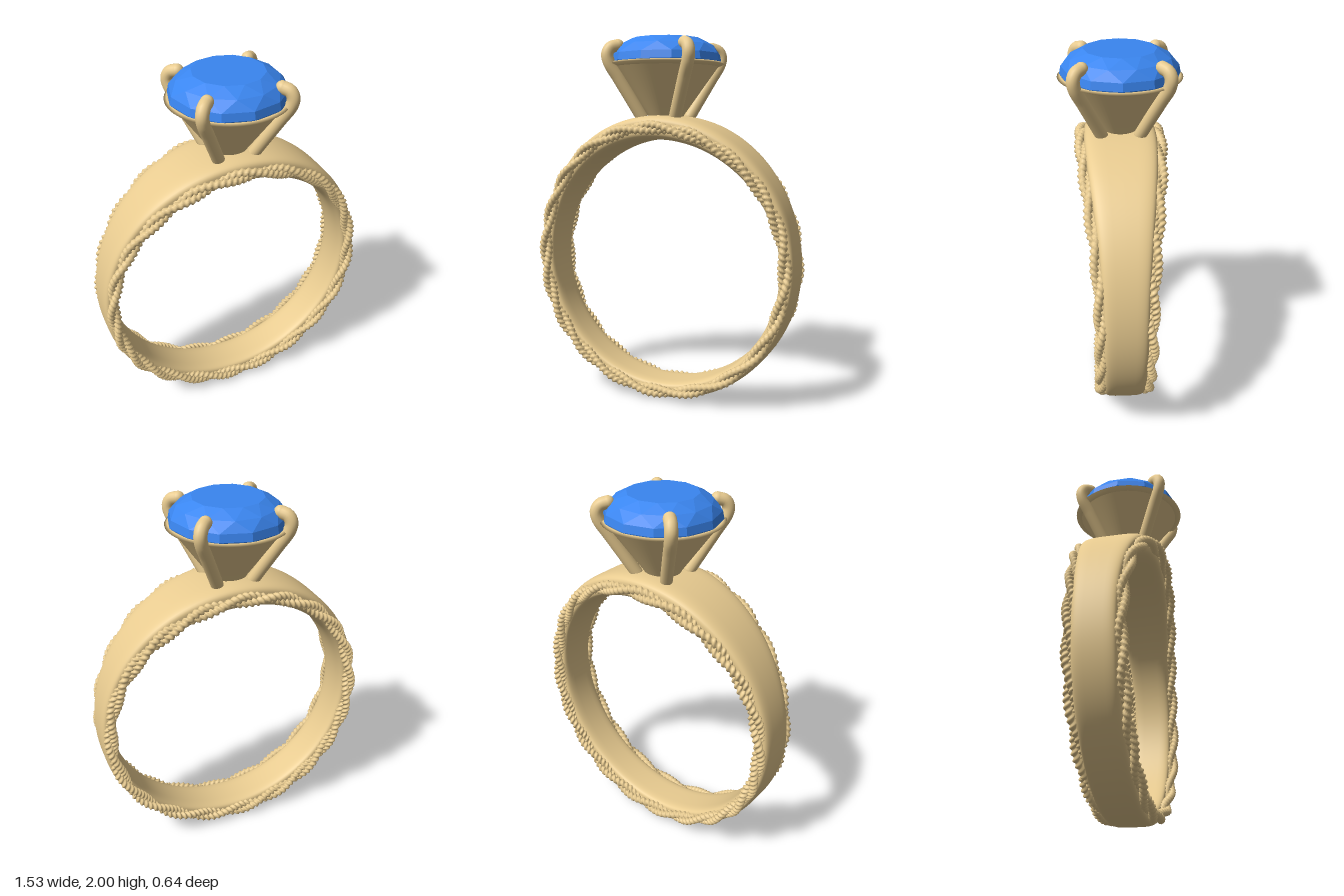
import * as THREE from 'three';
import { ConvexGeometry } from 'three/addons/geometries/ConvexGeometry.js';

const gold = new THREE.MeshStandardMaterial({ color: 0xe8cb90 });
const goldOpen = new THREE.MeshStandardMaterial({ color: 0xe8cb90, side: THREE.DoubleSide });
const blue = new THREE.MeshStandardMaterial({ color: 0x3a86f0 });

const TAU = Math.PI * 2;
const CY = 0.775;   // centre height of the finger hole
const RI = 0.683;   // inner radius

// Band measures at angle t from the top: outer radius and half width
const outer = t => 0.765 + (Math.cos(t) > 0 ? 0.05 : 0.01) * Math.cos(t) ** 2;
const halfWidth = t => 0.11 + 0.08 * Math.max(0, Math.cos(t)) ** 2.4;
const middle = t => (RI + outer(t)) / 2;

// Closed sweep round the finger hole; section(t, phi) gives [radius, z]
function sweep(steps, sides, section) {
  const pos = [], index = [];
  for (let i = 0; i < steps; i++) {
    const t = i / steps * TAU;
    for (let j = 0; j < sides; j++) {
      const [r, z] = section(t, j / sides * TAU);
      pos.push(Math.sin(t) * r, CY + Math.cos(t) * r, z);
      const i2 = (i + 1) % steps, j2 = (j + 1) % sides;
      const a = i * sides + j, b = i2 * sides + j, c = i2 * sides + j2, d = i * sides + j2;
      index.push(a, b, d, b, c, d);
    }
  }
  const g = new THREE.BufferGeometry();
  g.setAttribute('position', new THREE.Float32BufferAttribute(pos, 3));
  g.setIndex(index);
  g.computeVertexNormals();
  return g;
}

const rounded = (v, p) => Math.sign(v) * Math.abs(v) ** p;

export function createModel() {
  const group = new THREE.Group();
  const add = (name, geometry, material, parent = group) => {
    const m = new THREE.Mesh(geometry, material);
    m.name = name;
    parent.add(m);
    return m;
  };

  // Band, wider and thicker toward the top
  add('band', sweep(128, 40, (t, p) => [
    middle(t) + (outer(t) - RI) / 2 * rounded(Math.sin(p), 0.5),
    halfWidth(t) * rounded(Math.cos(p), 0.45),
  ]), gold);

  // Rope trim: two twisted wires wound round each other on both edges
  for (const side of [1, -1]) {
    const rope = new THREE.Group();
    rope.name = side > 0 ? 'frontRope' : 'backRope';
    group.add(rope);
    for (const start of [0, Math.PI]) {
      add('ropeStrand', sweep(864, 12, (t, p) => {
        const wind = side * 10 * t + start;
        const rad = 0.0195 * (1 + 0.27 * Math.cos(2 * p - side * 144 * t));
        return [
          middle(t) + 0.016 * Math.cos(wind) + rad * Math.sin(p),
          side * (halfWidth(t) + 0.014) + 0.016 * Math.sin(wind) + rad * Math.cos(p),
        ];
      }), gold, rope);
    }
  }

  // Conical setting with a thin sharp rim
  const cone = [[0, 1.57], [0.095, 1.57], [0.1, 1.59], [0.285, 1.848]];
  const rim = [[0.285, 1.848], [0.318, 1.862], [0.303, 1.872], [0.28, 1.868], [0.09, 1.6]];
  for (const [name, pts] of [['settingCone', cone], ['settingRim', rim]]) {
    add(name, new THREE.LatheGeometry(pts.map(p => new THREE.Vector2(...p)), 64), goldOpen);
  }

  // Faceted gem: rings of [radius, height, twist in half steps]
  const points = [new THREE.Vector3(0, 1.64, 0)];
  const rings = [[0.185, 2, 0], [0.257, 1.963, 1], [0.298, 1.915, 0], [0.306, 1.875, 0], [0.29, 1.86, 1]];
  for (const [r, y, twist] of rings) {
    for (let i = 0; i < 12; i++) {
      const a = (i + twist / 2) / 12 * TAU;
      points.push(new THREE.Vector3(Math.sin(a) * r, y, Math.cos(a) * r));
    }
  }
  add('gem', new ConvexGeometry(points), blue);

  // Four prongs leaning out along the cone and hooking over the gem
  const path = new THREE.CatmullRomCurve3(
    [[0.14, 1.58], [0.2, 1.675], [0.27, 1.785], [0.322, 1.868], [0.33, 1.91], [0.312, 1.942], [0.272, 1.955]]
      .map(([r, y]) => new THREE.Vector3(r, y, 0)));
  const stem = new THREE.TubeGeometry(path, 40, 0.033, 16);
  const tip = new THREE.SphereGeometry(0.033, 16, 12);
  const foot = new THREE.SphereGeometry(0.033, 16, 12);
  for (let i = 0; i < 4; i++) {
    const prong = new THREE.Group();
    prong.name = 'prong';
    prong.rotation.y = Math.PI / 4 + i * Math.PI / 2;
    group.add(prong);
    add('prongStem', stem, gold, prong);
    add('prongTip', tip, gold, prong).position.copy(path.getPoint(1));
    add('prongFoot', foot, gold, prong).position.copy(path.getPoint(0));
  }
  return group;
}
